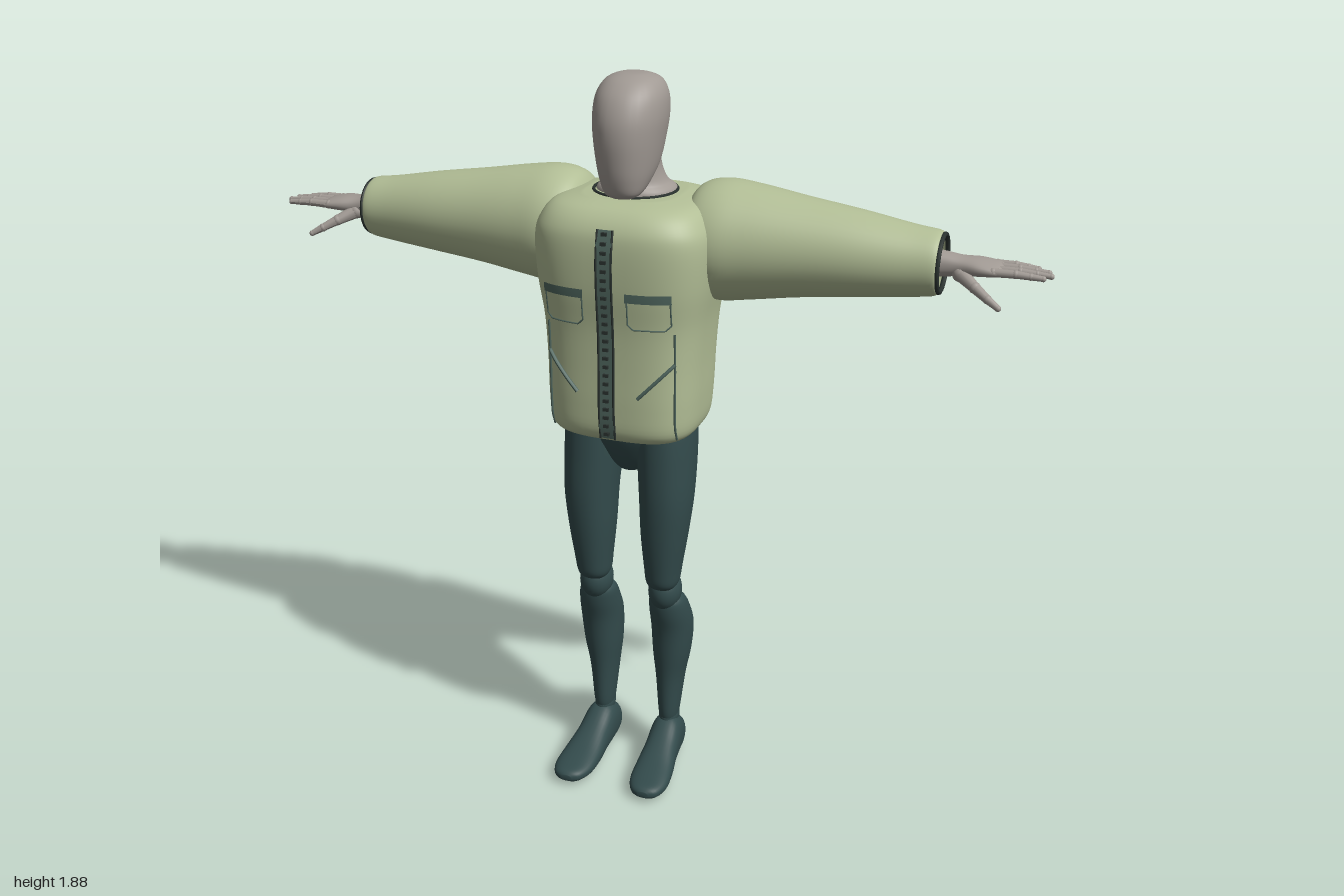
import * as THREE from 'three';
import { mergeGeometries } from 'three/addons/utils/BufferGeometryUtils.js';

const mat = (name, color, side = THREE.FrontSide) => {
  const m = new THREE.MeshStandardMaterial({ color, side });
  m.name = name;
  return m;
};

// Smooth interpolation through a list of cross-sections, t in 0..1
function sample(sections, t) {
  const f = t * (sections.length - 1), i = Math.min(Math.floor(f), sections.length - 2), k = f - i;
  const at = (j) => sections[THREE.MathUtils.clamp(j, 0, sections.length - 1)];
  const [p0, p1, p2, p3] = [at(i - 1), at(i), at(i + 1), at(i + 2)];
  return p1.map((v, c) => {
    const m0 = (p2[c] - p0[c]) / 2, m1 = (p3[c] - v) / 2, d = v - p2[c];
    return v + k * (m0 + k * (-3 * d - 2 * m0 - m1 + k * (2 * d + m0 + m1)));
  });
}

// Superellipse rings along an axis. Sections: [position, centreU, centreV, halfU, halfV]
// (axis x: U=y V=z, axis y: U=z V=x, axis z: U=x V=y)
function loft(axis, sections, { n = 2, sides = 32, sub = 5, caps = true } = {}) {
  const pos = [], idx = [], rings = (sections.length - 1) * sub;
  const put = (p, u, v) => pos.push(...{ x: [p, u, v], y: [v, p, u], z: [u, v, p] }[axis]);
  const pw = (c) => Math.sign(c) * Math.abs(c) ** (2 / n);
  for (let i = 0; i <= rings; i++) {
    const [p, cu, cv, hu, hv] = sample(sections, i / rings);
    for (let j = 0; j < sides; j++) {
      const a = (j / sides) * Math.PI * 2;
      put(p, cu + hu * pw(Math.cos(a)), cv + hv * pw(Math.sin(a)));
      if (i < rings) {
        const q = i * sides + j, r = i * sides + ((j + 1) % sides);
        idx.push(q, r, q + sides, r, r + sides, q + sides);
      }
    }
  }
  if (caps) {
    const c0 = pos.length / 3, last = rings * sides;
    put(...sections[0].slice(0, 3));
    put(...sections[sections.length - 1].slice(0, 3));
    for (let j = 0; j < sides; j++) {
      const k = (j + 1) % sides;
      idx.push(c0, k, j, c0 + 1, last + j, last + k);
    }
  }
  const g = new THREE.BufferGeometry();
  g.setAttribute('position', new THREE.Float32BufferAttribute(pos, 3));
  g.setIndex(idx);
  g.computeVertexNormals();
  return g;
}

function mirrored(geo) {
  const g = geo.clone().scale(-1, 1, 1), a = g.index.array;
  for (let i = 0; i < a.length; i += 3) [a[i], a[i + 1]] = [a[i + 1], a[i]];
  g.computeVertexNormals();
  return g;
}

// Tapered segments with round joints through a list of points
function jointed(points, radii) {
  const parts = [];
  points.forEach((p, i) => {
    const a = new THREE.Vector3(...p);
    parts.push(new THREE.SphereGeometry(radii[i] * 1.08, 12, 8).translate(...p));
    if (!points[i + 1]) return;
    const d = new THREE.Vector3(...points[i + 1]).sub(a);
    const c = new THREE.CylinderGeometry(radii[i + 1], radii[i], d.length(), 12);
    c.applyQuaternion(new THREE.Quaternion().setFromUnitVectors(new THREE.Vector3(0, 1, 0), d.clone().normalize()));
    parts.push(c.translate(...a.addScaledVector(d, 0.5).toArray()));
  });
  return mergeGeometries(parts);
}

const TORSO_N = 3.2;
const TORSO = [
  [0.997, 0.005, 0, 0.1, 0.13], [1.003, 0.005, 0, 0.14, 0.165], [1.03, 0.005, 0, 0.167, 0.188],
  [1.1, 0.003, 0, 0.174, 0.195], [1.2, 0, 0, 0.177, 0.198], [1.3, -0.003, 0, 0.182, 0.205],
  [1.4, -0.005, 0, 0.194, 0.22], [1.5, -0.007, 0, 0.197, 0.226], [1.55, -0.01, 0, 0.188, 0.212],
  [1.585, -0.015, 0, 0.16, 0.18], [1.6, -0.02, 0, 0.115, 0.115],
];

// Point on the jacket's front (dir 1) or back (dir -1)
function onJacket(x, y, lift = 0.006, dir = 1) {
  let lo = 0, hi = 1;
  for (let i = 0; i < 24; i++) {
    const m = (lo + hi) / 2;
    if (sample(TORSO, m)[0] < y) lo = m; else hi = m;
  }
  const [, cz, , hz, hx] = sample(TORSO, lo);
  const k = Math.max(0, 1 - Math.abs(x / hx) ** TORSO_N) ** (1 / TORSO_N);
  return new THREE.Vector3(x, y, cz + dir * (hz * k + lift));
}

// Thin cord following the jacket through x,y corner points
function cord(corners, r, dir = 1, lift = 0.004) {
  const pts = [];
  corners.forEach(([x, y], i) => {
    const [x2, y2] = corners[i + 1] || [x, y], steps = corners[i + 1] ? 8 : 1;
    for (let k = 0; k < steps; k++) pts.push(onJacket(x + ((x2 - x) * k) / steps, y + ((y2 - y) * k) / steps, lift, dir));
  });
  return new THREE.TubeGeometry(new THREE.CatmullRomCurve3(pts), pts.length * 2, r, 6);
}

// Thin patch lying on the jacket front
function patch(x0, x1, y0, y1, lift) {
  const g = new THREE.PlaneGeometry(1, 1, 8, 16), p = g.attributes.position;
  for (let i = 0; i < p.count; i++) {
    const v = onJacket(x0 + (x1 - x0) * (p.getX(i) + 0.5), y0 + (y1 - y0) * (p.getY(i) + 0.5), lift);
    p.setXYZ(i, v.x, v.y, v.z);
  }
  g.computeVertexNormals();
  return g;
}

export function createModel() {
  const root = new THREE.Group();
  const cloth = mat('sage cloth', 0xb2be96, THREE.DoubleSide);
  const skin = mat('warm grey', 0xa19a94);
  const legs = mat('dark teal', 0x334b4c);
  const trim = mat('grey green trim', 0x50675f, THREE.DoubleSide);
  const dark = mat('dark seam', 0x2a322f, THREE.DoubleSide);
  const add = (name, geo, m) => {
    const mesh = new THREE.Mesh(geo, m);
    mesh.name = name;
    root.add(mesh);
  };
  const pair = (name, geo, m) => {
    add('left ' + name, geo, m);
    add('right ' + name, mirrored(geo), m);
  };

  // Head and neck
  add('head', loft('y', [
    [1.597, 0.075, 0, 0.012, 0.02], [1.61, 0.067, 0, 0.04, 0.044], [1.64, 0.047, 0, 0.072, 0.06],
    [1.68, 0.029, 0, 0.098, 0.072], [1.74, 0.019, 0, 0.113, 0.082], [1.79, 0.011, 0, 0.115, 0.087],
    [1.835, 0.003, 0, 0.102, 0.083], [1.866, -0.003, 0, 0.075, 0.066], [1.88, -0.002, 0, 0.04, 0.038],
    [1.883, 0, 0, 0.01, 0.01]], { n: 2.15 }), skin);
  add('neck', loft('y', [
    [1.55, -0.03, 0, 0.09, 0.1], [1.602, -0.03, 0, 0.092, 0.1], [1.625, -0.025, 0, 0.075, 0.077],
    [1.67, -0.015, 0, 0.062, 0.064], [1.74, -0.01, 0, 0.065, 0.066]]), skin);

  // Jacket body with collar edge
  add('jacket body', loft('y', TORSO, { n: TORSO_N, sides: 64 }), cloth);
  const collar = new THREE.TorusGeometry(0.1, 0.004, 6, 48).rotateX(Math.PI / 2).scale(1.02, 1, 1.02);
  add('collar edge', collar.translate(0, 1.601, -0.02), dark);

  // Sleeves and cuffs
  pair('sleeve', loft('x', [
    [0.12, 1.485, -0.06, 0.06, 0.06], [0.137, 1.485, -0.06, 0.105, 0.105], [0.165, 1.485, -0.06, 0.136, 0.138],
    [0.22, 1.485, -0.06, 0.148, 0.15], [0.3, 1.486, -0.06, 0.139, 0.14], [0.42, 1.486, -0.058, 0.12, 0.121],
    [0.55, 1.484, -0.057, 0.103, 0.104], [0.67, 1.48, -0.057, 0.086, 0.085], [0.73, 1.48, -0.057, 0.078, 0.077],
    [0.742, 1.48, -0.057, 0.071, 0.071]], { sides: 40, caps: false }), cloth);
  const ring = new THREE.TorusGeometry(0.068, 0.006, 8, 40).rotateY(Math.PI / 2);
  pair('cuff edge', ring.translate(0.744, 1.48, -0.057), dark);
  pair('cuff lining', new THREE.CircleGeometry(0.072, 32).rotateY(Math.PI / 2).translate(0.715, 1.48, -0.057), trim);

  // Hands with four fingers and a thumb
  pair('wrist and palm', loft('x', [
    [0.7, 1.48, -0.058, 0.036, 0.036], [0.755, 1.48, -0.058, 0.029, 0.031], [0.79, 1.48, -0.06, 0.023, 0.033],
    [0.83, 1.48, -0.064, 0.02, 0.046], [0.87, 1.478, -0.066, 0.014, 0.049], [0.885, 1.477, -0.066, 0.007, 0.042]], { n: 2.3 }), skin);
  [[-0.104, 0.965], [-0.079, 0.992], [-0.053, 1.0], [-0.028, 0.985]].forEach(([z, tip], i) => {
    const x = (k) => 0.865 + (tip - 0.007 - 0.865) * k;
    pair('finger ' + (i + 1), jointed([[x(0), 1.479, z], [x(0.45), 1.48, z], [x(0.75), 1.478, z], [x(1), 1.476, z]],
      [0.0105, 0.0095, 0.008, 0.0065]), skin);
  });
  pair('thumb', jointed([[0.79, 1.465, -0.04], [0.83, 1.445, -0.008], [0.863, 1.427, 0.012], [0.89, 1.412, 0.024]],
    [0.018, 0.013, 0.01, 0.007]), skin);

  // Front zip with edge lines and teeth
  add('zip tape', patch(-0.02, 0.02, 1.02, 1.55, 0.008), trim);
  pair('zip edge', cord([[0.019, 1.02], [0.019, 1.55]], 0.003, 1, 0.008), dark);
  const teeth = [];
  for (let y = 1.035; y < 1.545; y += 0.022) {
    teeth.push(new THREE.BoxGeometry(0.014, 0.008, 0.008).translate(...onJacket(0, y, 0.01).toArray()));
  }
  add('zip teeth', mergeGeometries(teeth), dark);

  // Chest pockets, slanted pockets and seams
  pair('chest pocket', patch(0.057, 0.158, 1.32, 1.4, 0.009), cloth);
  pair('pocket flap', patch(0.053, 0.162, 1.382, 1.404, 0.013), trim);
  pair('pocket outline', cord([[0.057, 1.4], [0.057, 1.325], [0.07, 1.313], [0.145, 1.313], [0.158, 1.325], [0.158, 1.4]],
    0.002, 1, 0.009), trim);
  pair('slanted pocket', cord([[0.078, 1.135], [0.162, 1.222]], 0.005), trim);
  pair('front seam', cord([[0.162, 1.02], [0.162, 1.3]], 0.003), trim);
  add('back seam', cord([[-0.16, 1.43], [0, 1.445], [0.16, 1.43]], 0.004, -1, 0.01), dark);

  // Hips and legs
  add('hips', loft('y', [
    [0.872, -0.005, 0, 0.03, 0.022], [0.89, -0.005, 0, 0.06, 0.04], [0.94, -0.005, 0, 0.09, 0.085],
    [1.0, 0, 0, 0.105, 0.135], [1.05, 0, 0, 0.1, 0.14]], { n: 2.2 }), legs);
  pair('thigh', loft('y', [
    [0.555, 0.03, 0.096, 0.03, 0.03], [0.575, 0.03, 0.096, 0.053, 0.042], [0.62, 0.031, 0.097, 0.062, 0.048],
    [0.72, 0.03, 0.1, 0.076, 0.06], [0.82, 0.026, 0.103, 0.086, 0.068], [0.92, 0.015, 0.1, 0.094, 0.073],
    [1.0, 0.008, 0.097, 0.096, 0.074], [1.04, 0.008, 0.095, 0.09, 0.07]], { n: 2.2 }), legs);
  pair('knee', new THREE.SphereGeometry(1, 24, 16).scale(0.044, 0.058, 0.052).translate(0.097, 0.54, 0.016), legs);
  pair('shin', loft('y', [
    [0.12, -0.035, 0.095, 0.036, 0.024], [0.15, -0.035, 0.095, 0.043, 0.028], [0.25, -0.042, 0.096, 0.056, 0.038],
    [0.33, -0.042, 0.099, 0.065, 0.05], [0.41, -0.036, 0.101, 0.068, 0.055], [0.47, -0.014, 0.1, 0.06, 0.053],
    [0.51, 0.002, 0.098, 0.047, 0.046], [0.525, 0.008, 0.098, 0.025, 0.025]], { n: 2.1 }), legs);
  pair('ankle', new THREE.SphereGeometry(1, 20, 14).scale(0.027, 0.035, 0.04).translate(0.095, 0.122, -0.035), legs);
  pair('foot', loft('z', [
    [-0.087, 0.095, 0.05, 0.012, 0.016], [-0.078, 0.095, 0.052, 0.032, 0.043], [-0.045, 0.096, 0.061, 0.041, 0.057],
    [-0.005, 0.097, 0.064, 0.044, 0.062], [0.05, 0.1, 0.049, 0.046, 0.047], [0.11, 0.104, 0.036, 0.052, 0.033],
    [0.17, 0.108, 0.029, 0.052, 0.023], [0.21, 0.11, 0.027, 0.037, 0.017], [0.224, 0.11, 0.026, 0.014, 0.008]], { n: 2.4 }), legs);

  return root;
}
